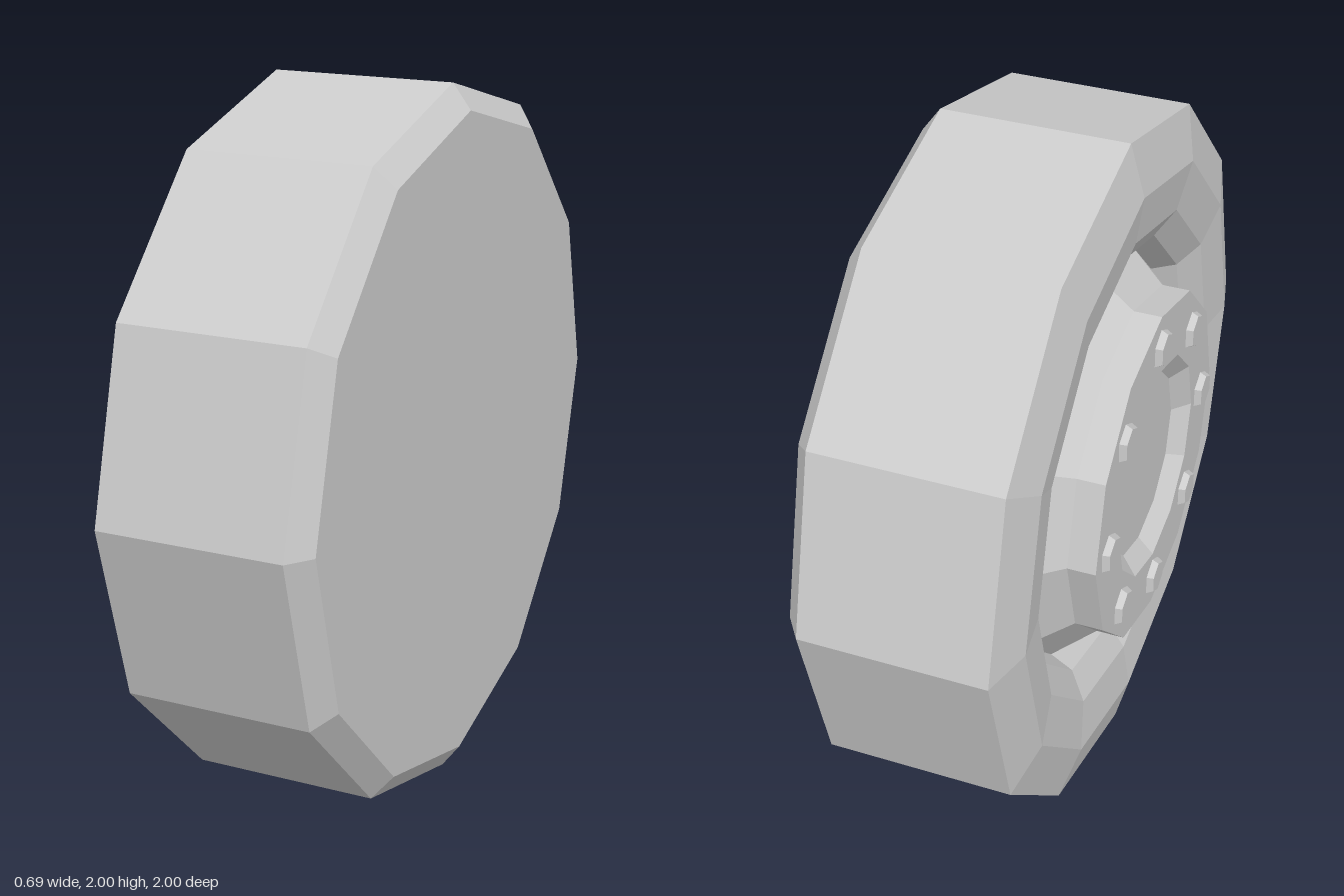
import * as THREE from 'three';

const material = new THREE.MeshStandardMaterial({ color: 0xcccccc, flatShading: true });

// Twelve-sided ring turned about the x axis; profile points are [radius, x],
// running from the inner side (+x) to the outer side (-x).
function turned(name, profile) {
  const points = profile.map(([r, x]) => new THREE.Vector2(r, -x));
  const geometry = new THREE.LatheGeometry(points, 12);
  geometry.rotateZ(Math.PI / 2);
  const mesh = new THREE.Mesh(geometry, material);
  mesh.name = name;
  return mesh;
}

export function createModel() {
  const wheel = new THREE.Group();
  wheel.name = 'wheel';

  // Tyre with a closed inner side and a gently dished outer wall
  wheel.add(turned('tyre', [
    [0, 0.345], [0.93, 0.345], [1, 0.293], [1, -0.23], [0.85, -0.27], [0.71, -0.25],
  ]));

  // Rim lip sloping into a groove around the hub
  wheel.add(turned('rim', [
    [0.71, -0.25], [0.63, -0.2], [0.6, -0.13],
  ]));

  // Raised hub with a flared foot and a shallow recess in its middle
  wheel.add(turned('hub', [
    [0.6, -0.13], [0.5, -0.25], [0.5, -0.33], [0.32, -0.33], [0.27, -0.285], [0, -0.285],
  ]));

  // Ring of eight hexagonal wheel nuts
  const nuts = new THREE.Group();
  nuts.name = 'wheelNuts';
  const nutGeometry = new THREE.CylinderGeometry(0.048, 0.06, 0.022, 6);
  nutGeometry.rotateZ(Math.PI / 2);
  for (let i = 0; i < 8; i++) {
    const angle = (i * Math.PI) / 4;
    const nut = new THREE.Mesh(nutGeometry, material);
    nut.name = 'wheelNut';
    nut.position.set(-0.338, 0.4 * Math.cos(angle), 0.4 * Math.sin(angle));
    nut.rotation.x = Math.PI / 2;
    nuts.add(nut);
  }
  wheel.add(nuts);

  wheel.position.y = 1;
  const model = new THREE.Group();
  model.add(wheel);
  return model;
}
